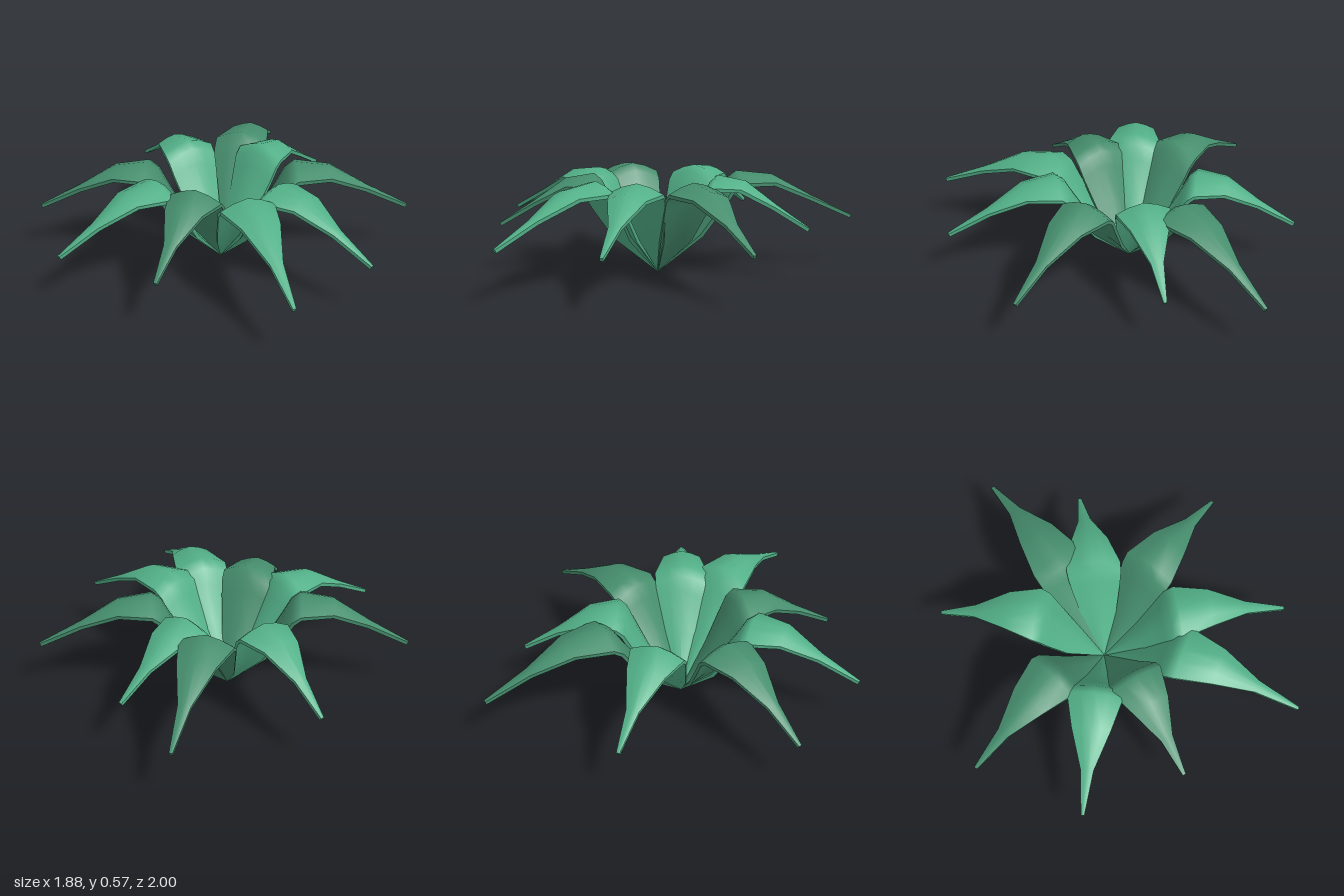
import * as THREE from 'three';
import { mergeGeometries } from 'three/addons/utils/BufferGeometryUtils.js';

// Leaf sections: [fraction of length, midrib height, half width, edge drop]
const SECTIONS = [
  [0, 0.005, 0.003, 0],
  [0.2, 0.265, 0.098, 0.04],
  [0.31, 0.455, 0.135, 0.05],
  [0.35, 0.53, 0.146, 0.053],
  [0.4, 0.57, 0.15, 0.054],
  [0.58, 0.545, 0.105, 0.036],
  [0.78, 0.42, 0.035, 0.01],
  [1, 0.295, 0.009, 0],
];
const ACROSS = 4;
const THICKNESS = 0.02;

// Leaf tips on the ground plane, around the common root: [x, z, is dark]
const ROOT = [-0.08, 0.07];
const TIPS = [
  [-0.445, -1.0, true], [0.02, -0.79, false], [0.75, -0.56, true],
  [0.935, 0.175, false], [0.825, 0.75, false], [0.12, 0.93, true],
  [-0.46, 0.99, false], [-0.94, 0.585, true], [-0.91, -0.33, false],
];

// Smooth surface through a grid of points
function surface(rows) {
  const n = rows[0].length;
  const index = [];
  for (let i = 0; i < rows.length - 1; i++) {
    for (let j = 0; j < n - 1; j++) {
      const a = i * n + j, b = a + n;
      index.push(a, a + 1, b, a + 1, b + 1, b);
    }
  }
  const g = new THREE.BufferGeometry().setFromPoints(rows.flat());
  g.setIndex(index);
  g.computeVertexNormals();
  return g;
}

// One arching leaf growing along +x with the given length
function leafGeometry(length) {
  const top = [], bottom = [];
  const last = SECTIONS.length - 1;
  SECTIONS.forEach(([t, y, w, drop], i) => {
    const p = SECTIONS[Math.max(i - 1, 0)];
    const q = SECTIONS[Math.min(i + 1, last)];
    const dir = new THREE.Vector2((q[0] - p[0]) * length, q[1] - p[1]).normalize();
    const th = i === 0 ? 0.004 : THICKNESS;
    const upper = [], lower = [];
    for (let j = 0; j <= ACROSS; j++) {
      const v = (j / ACROSS) * 2 - 1;
      const point = new THREE.Vector3(t * length, y - drop * Math.abs(v) ** 1.5, w * v);
      upper.push(point);
      lower.push(new THREE.Vector3(point.x + dir.y * th, point.y - dir.x * th, point.z));
    }
    top.push(upper);
    bottom.push(lower);
  });
  // Upper face, lower face, two long edges and the blunt tip
  return mergeGeometries([
    surface(top),
    surface(bottom.map((row) => [...row].reverse())),
    surface(top.map((row, i) => [row[ACROSS], bottom[i][ACROSS]])),
    surface(top.map((row, i) => [bottom[i][0], row[0]])),
    surface(top[last].map((point, j) => [bottom[last][j], point])),
  ]);
}

function material(name, color) {
  const m = new THREE.MeshStandardMaterial({ color });
  m.name = name;
  return m;
}

export function createModel() {
  const group = new THREE.Group();
  group.name = 'leafyPlant';
  const lightGreen = material('lightGreen', 0x53b189);
  const darkGreen = material('darkGreen', 0x468e6e);

  TIPS.forEach(([x, z, isDark], i) => {
    const dx = x - ROOT[0], dz = z - ROOT[1];
    const leaf = new THREE.Mesh(
      leafGeometry(Math.hypot(dx, dz)), isDark ? darkGreen : lightGreen);
    leaf.name = `leaf${i + 1}`;
    leaf.position.set(ROOT[0], 0, ROOT[1]);
    leaf.rotation.y = -Math.atan2(dz, dx);
    group.add(leaf);
  });
  return group;
}
